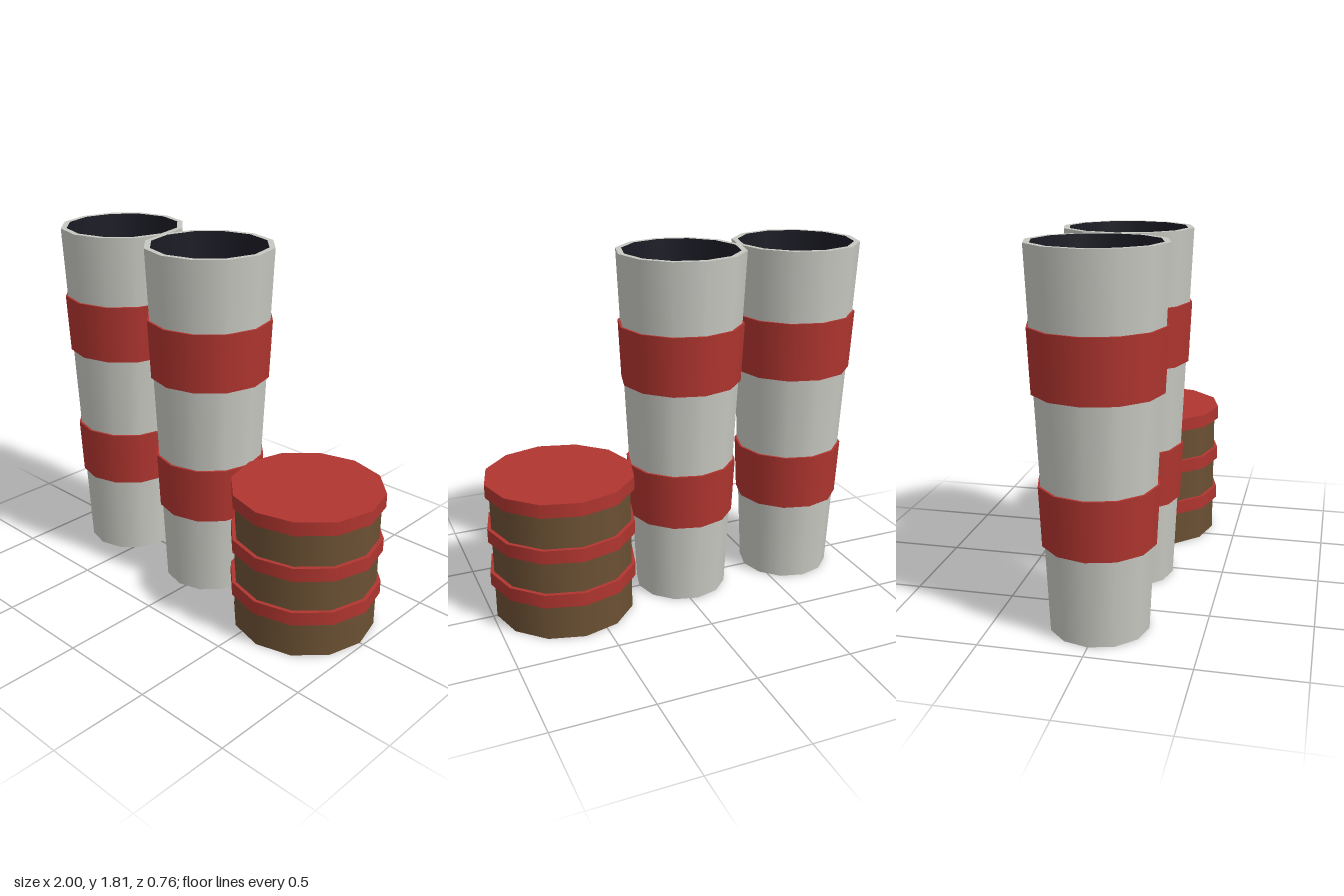
import * as THREE from 'three';

const SIDES = 12;
const material = (name, color, side = THREE.FrontSide) =>
  new THREE.MeshStandardMaterial({ name, color, side });

export function createModel() {
  const grey = material('light grey', 0xc8c8c2);
  const red = material('red', 0xb0352f);
  const brown = material('brown', 0x6b5033);
  const dark = material('dark lining', 0x1a1a24, THREE.DoubleSide);

  const add = (parent, name, geometry, mat) => {
    const mesh = new THREE.Mesh(geometry, mat);
    mesh.name = name;
    parent.add(mesh);
    return mesh;
  };
  // Twelve-sided tapered cylinder between two heights
  const tube = (rTop, rBottom, y0, y1, open = false) =>
    new THREE.CylinderGeometry(rTop, rBottom, y1 - y0, SIDES, 1, open).translate(0, (y0 + y1) / 2, 0);

  const H = 1.81, R_TOP = 0.325, R_BOTTOM = 0.24, WALL = 0.03;
  const radiusAt = (y) => R_BOTTOM + (R_TOP - R_BOTTOM) * y / H;

  // Tall tapered stack with an open top and two bands
  function createStack(name, x) {
    const stack = new THREE.Group();
    stack.name = name;
    stack.position.x = x;
    add(stack, 'outerWall', tube(R_TOP, R_BOTTOM, 0, H, true), grey);
    add(stack, 'base', new THREE.CircleGeometry(R_BOTTOM, SIDES).rotateX(Math.PI / 2), grey);
    add(stack, 'rim', new THREE.RingGeometry(R_TOP - WALL, R_TOP, SIDES).rotateX(-Math.PI / 2).translate(0, H, 0), grey);
    add(stack, 'lining', tube(R_TOP - WALL, radiusAt(1.45) - WALL, 1.45, H, true), dark);
    // The solid upper band closes the opening from below
    for (const [band, y0, y1] of [['lowerBand', 0.43, 0.72], ['upperBand', 1.15, 1.45]]) {
      add(stack, band, tube(radiusAt(y1) + 0.012, radiusAt(y0) + 0.012, y0, y1), red);
    }
    return stack;
  }

  // Short drum with three hoops, the top one forming the lid
  function createDrum() {
    const drum = new THREE.Group();
    drum.name = 'drum';
    drum.position.x = 0.62;
    add(drum, 'drumBody', tube(0.36, 0.36, 0, 0.7), brown);
    [['lowerHoop', 0.185], ['middleHoop', 0.425], ['lid', 0.667]].forEach(([name, y]) =>
      add(drum, name, tube(0.38, 0.38, y, y + 0.07), red));
    return drum;
  }

  const model = new THREE.Group();
  model.name = 'stacksAndDrum';
  model.add(createStack('rightStack', -0.675), createStack('leftStack', -0.04), createDrum());
  return model;
}
